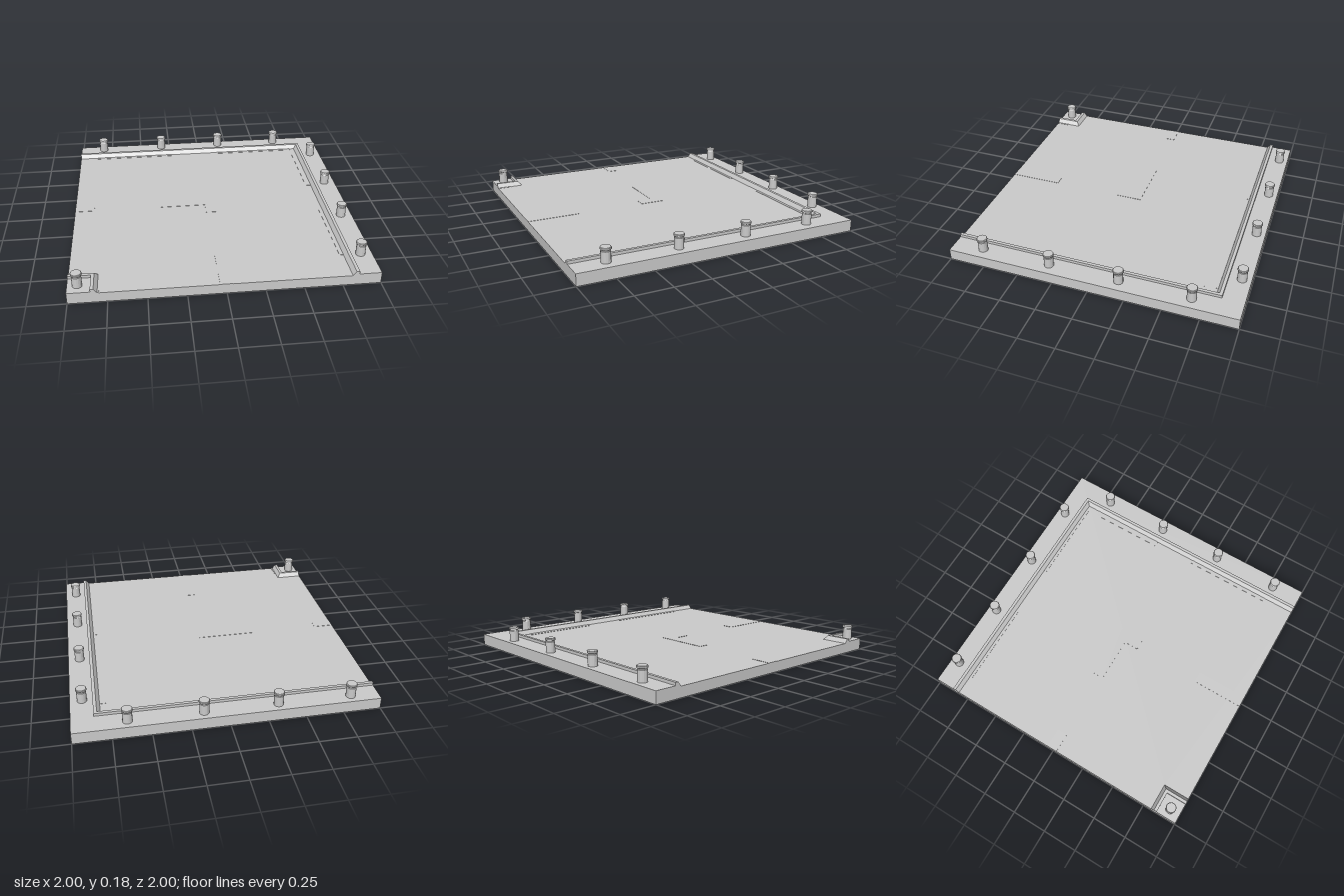
import * as THREE from 'three';

const grey = new THREE.MeshStandardMaterial({ color: 0xcccccc, flatShading: true });
const ROAD = 0.07, WALK = 0.08, KERB = 0.1, INNER = 0.81;

// Cross-section of kerb and pavement: [distance from tile centre, height]
const section = [[INNER, ROAD], [0.832, KERB], [0.853, KERB], [0.853, WALK], [1, WALK]];

// Sweeps the section through mitred stations, each mapping (d, y) to a point
function sweep(stations) {
  const pos = [];
  const quad = (a, b, c, d) => [a, b, c, a, c, d].forEach((p) => pos.push(...p));
  const loop = [[INNER, 0], ...section, [1, 0]];
  for (let s = 0; s < stations.length - 1; s++) {
    const p = stations[s], q = stations[s + 1];
    loop.forEach((a, i) => {
      const b = loop[(i + 1) % loop.length];
      quad(p(...a), q(...a), q(...b), p(...b));
    });
  }
  // End caps, one column per top edge
  const first = stations[0], last = stations[stations.length - 1];
  for (let i = 0; i < section.length - 1; i++) {
    const [d0, y0] = section[i], [d1, y1] = section[i + 1];
    if (d0 === d1) continue;
    quad(last(d0, 0), last(d1, 0), last(d1, y1), last(d0, y0));
    quad(first(d0, 0), first(d0, y0), first(d1, y1), first(d1, 0));
  }
  const g = new THREE.BufferGeometry();
  g.setAttribute('position', new THREE.Float32BufferAttribute(pos, 3));
  g.computeVertexNormals();
  return g;
}

export function createModel() {
  const model = new THREE.Group();
  model.name = 'roadCornerTile';
  const add = (name, geometry) => {
    const mesh = new THREE.Mesh(geometry, grey);
    mesh.name = name;
    model.add(mesh);
    return mesh;
  };

  // Road slab with the inside corner cut out (shape y becomes -z)
  const plan = [[-1, -INNER], [INNER, -INNER], [INNER, 1], [-INNER, 1], [-INNER, INNER], [-1, INNER]];
  const road = new THREE.ExtrudeGeometry(
    new THREE.Shape(plan.map(([x, z]) => new THREE.Vector2(x, -z))),
    { depth: ROAD, bevelEnabled: false });
  add('road', road.rotateX(-Math.PI / 2));

  // Pavements with kerbs
  add('outerPavement', sweep([
    (d, y) => [-1, y, -d], (d, y) => [d, y, -d], (d, y) => [d, y, 1]]));
  add('innerPavement', sweep([
    (d, y) => [-d, y, 1], (d, y) => [-d, y, d], (d, y) => [-1, y, d]]));

  // Thin markings: x0, x1, z0, z1
  const marking = (name, x0, x1, z0, z1) => {
    const t = 0.002;
    add(name, new THREE.BoxGeometry(x1 - x0, t, z1 - z0))
      .position.set((x0 + x1) / 2, ROAD + t / 2, (z0 + z1) / 2);
  };
  [[-1, -0.86, -0.04, 0.035], [-0.37, 0.035, -0.04, 0.035],
    [-0.045, 0.035, 0.035, 0.14], [-0.045, 0.035, 0.63, 1]]
    .forEach((m) => marking('centreDash', ...m));
  [[-0.86, -0.23, -INNER, -0.79], [0.14, 0.77, -INNER, -0.79],
    [0.77, INNER, -0.72, -0.17], [0.783, INNER, 0.14, 0.77],
    [-INNER, -0.8, 0.895, 1]]
    .forEach((m) => marking('gutterStrip', ...m));

  // Bollards with a groove under the cap
  const profile = [[0, 0], [0.032, 0], [0.032, 0.075], [0.029, 0.079],
    [0.029, 0.083], [0.036, 0.086], [0.036, 0.096], [0.033, 0.1], [0, 0.1]];
  const bollard = new THREE.LatheGeometry(profile.map((p) => new THREE.Vector2(...p)), 16);
  const spots = [[-0.935, 0.925]];
  for (let i = 0; i < 4; i++) {
    spots.push([-0.81 + i * 0.486, -0.937], [0.92, -0.675 + i * 0.486]);
  }
  spots.forEach(([x, z]) => add('bollard', bollard).position.set(x, WALK, z));

  return model;
}
